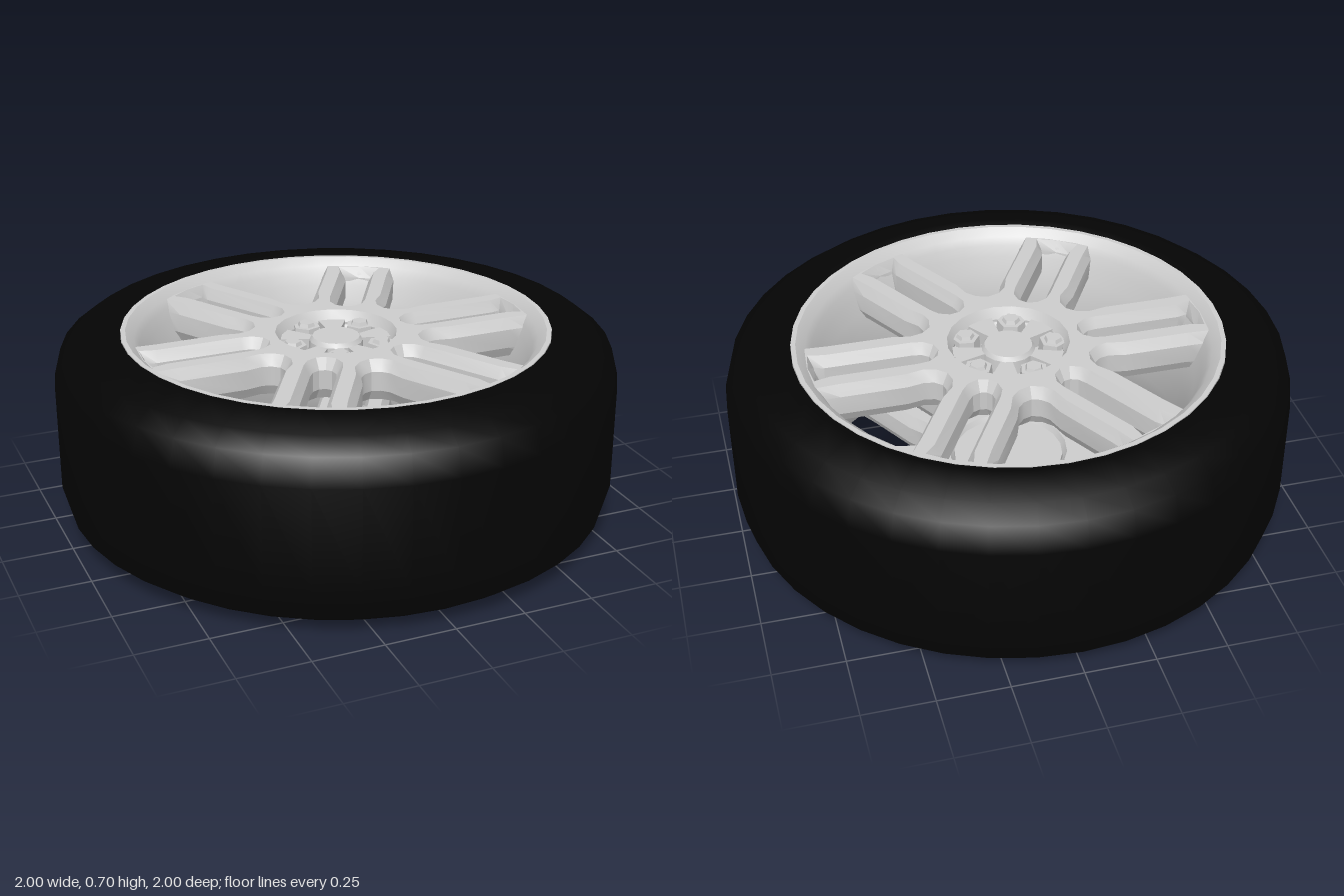
import * as THREE from 'three';
import { toCreasedNormals } from 'three/addons/utils/BufferGeometryUtils.js';

const MID = 0.3525; // half the wheel width
const alloy = new THREE.MeshStandardMaterial({ color: 0xcccccc });
const alloyThin = new THREE.MeshStandardMaterial({ color: 0xcccccc, side: THREE.DoubleSide });
const rubber = new THREE.MeshStandardMaterial({ color: 0x040404 });

function add(parent, name, geometry, material = alloy, crease = 0.5) {
  const mesh = new THREE.Mesh(toCreasedNormals(geometry, crease), material);
  mesh.name = name;
  parent.add(mesh);
}

function lathe(points, segments) {
  return new THREE.LatheGeometry(points.map(p => new THREE.Vector2(...p)), segments);
}

// Revolve [radius, height above mid-plane] points, mirrored about the mid-plane
function mirroredLathe(half, segments) {
  const lower = half.map(([r, y]) => [r, -y]).reverse();
  return lathe([...lower, ...half], segments).translate(0, MID, 0);
}

// Closed opening, symmetric about its own axis, turned to the given angle
function opening(half, angle) {
  const c = Math.cos(angle), s = Math.sin(angle);
  const all = [...half, ...half.slice(1, -1).reverse().map(([u, v]) => [u, -v])];
  return new THREE.Path(all.map(([u, v]) => new THREE.Vector2(u * c - v * s, u * s + v * c)));
}

function arc(radius, from, to, steps) {
  return Array.from({ length: steps + 1 }, (_, i) => {
    const a = from + (to - from) * i / steps;
    return [radius * Math.cos(a), radius * Math.sin(a)];
  });
}

// Plate with six pairs of spokes, cut by slots and wedge windows
function spokeGeometry() {
  const shape = new THREE.Shape(arc(0.76, 0, Math.PI * 1.95, 39).map(p => new THREE.Vector2(...p)));
  const slot = [[0.275, 0], [0.282, 0.022], [0.305, 0.04], [0.34, 0.045],
    [0.65, 0.045], [0.685, 0.055], [0.69, 0]];
  const edge = u => [u, (u * 0.5 - 0.14) / Math.cos(Math.PI / 6)];
  const wedge = [[0.315, 0], [0.325, 0.03], [0.35, 0.054], edge(0.41), edge(0.61),
    ...arc(0.7, 0.32, 0, 4)];
  for (let i = 0; i < 6; i++) {
    shape.holes.push(opening(slot, i * Math.PI / 3));
    shape.holes.push(opening(wedge, (i + 0.5) * Math.PI / 3));
  }
  shape.holes.push(new THREE.Path(arc(0.195, 0, Math.PI * 1.9, 19).map(p => new THREE.Vector2(...p))));
  const g = new THREE.ExtrudeGeometry(shape, {
    depth: 0.07, bevelEnabled: true, bevelThickness: 0.04, bevelSize: 0.022,
    bevelOffset: -0.022, bevelSegments: 1,
  });
  return g.rotateX(-Math.PI / 2).translate(0, 0.56 - MID, 0);
}

// One face of the wheel, measured from the mid-plane
function createFace() {
  const face = new THREE.Group();
  add(face, 'spokes', spokeGeometry());

  // Recessed hub dish with a flat back
  add(face, 'hubDish', lathe([[0, 0.18], [0.2, 0.18], [0.205, 0.27], [0.19, 0.27],
    [0.165, 0.235], [0, 0.235]], 20));
  add(face, 'centreCap', lathe([[0.1, 0.22], [0.095, 0.285], [0.085, 0.3], [0, 0.3]], 16));

  for (let i = 0; i < 5; i++) {
    const sector = new THREE.Group();
    sector.name = 'boltSector';
    sector.rotation.y = Math.PI + i * Math.PI * 2 / 5;
    face.add(sector);
    // Hexagonal wheel bolt with a smaller raised head
    add(sector, 'boltBase', new THREE.CylinderGeometry(0.05, 0.056, 0.06, 6).translate(0.165, 0.26, 0));
    add(sector, 'boltHead', new THREE.CylinderGeometry(0.028, 0.034, 0.014, 6).translate(0.165, 0.296, 0));
    // Rib between neighbouring bolts
    const rib = new THREE.Group();
    rib.name = 'hubRib';
    rib.rotation.y = Math.PI / 5;
    sector.add(rib);
    const ribShape = new THREE.Shape([[0.08, -0.018], [0.21, -0.055], [0.21, 0.055], [0.08, 0.018]]
      .map(p => new THREE.Vector2(...p)));
    add(rib, 'ribBlock', new THREE.ExtrudeGeometry(ribShape, { depth: 0.065, bevelEnabled: false })
      .rotateX(-Math.PI / 2).translate(0, 0.22, 0));
  }
  return face;
}

export function createModel() {
  const wheel = new THREE.Group();
  wheel.name = 'wheel';

  // Tyre with rounded shoulders
  add(wheel, 'tyre', mirroredLathe([[1, 0.185], [0.975, 0.28], [0.915, 0.325], [0.79, 0.3525],
    [0.765, 0.345], [0.762, 0.31], [0.762, 0.2]], 40), rubber, 0.7);

  // Rim lip and inner barrel
  add(wheel, 'rimBarrel', mirroredLathe([[0.635, 0.09], [0.66, 0.19], [0.683, 0.25], [0.698, 0.29],
    [0.715, 0.318], [0.745, 0.345], [0.762, 0.345], [0.762, 0.3]], 40), alloyThin);

  // Matching faces above and below
  for (const side of ['upper', 'lower']) {
    const face = createFace();
    face.name = side + 'Face';
    face.position.y = MID;
    if (side === 'lower') face.rotation.x = Math.PI;
    wheel.add(face);
  }
  return wheel;
}
